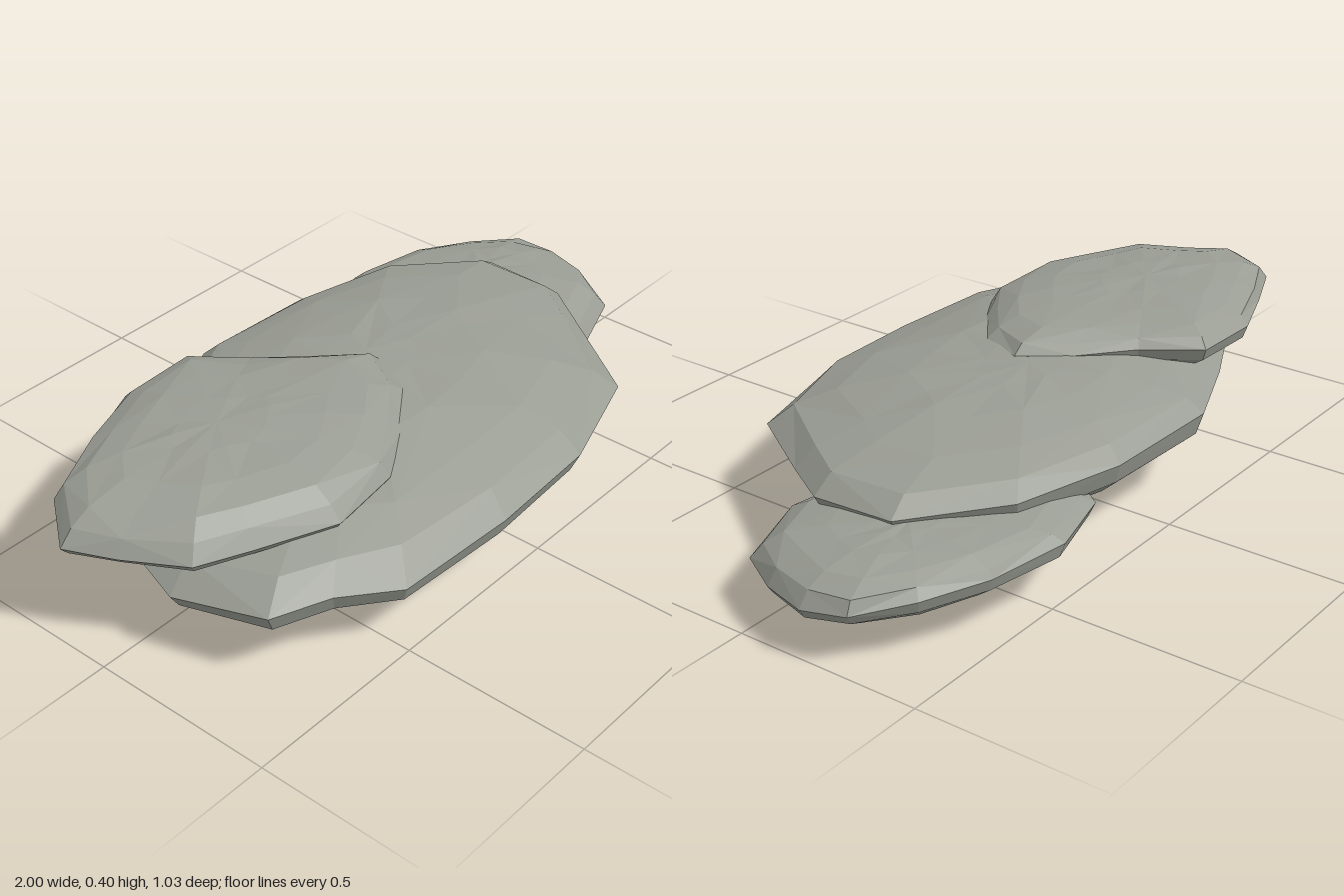
import * as THREE from 'three';

// Small seeded generator for gentle facet irregularity
function seeded(seed) {
  let s = seed;
  return () => {
    s = (s * 16807) % 2147483647;
    return s / 2147483647 - 0.5;
  };
}

// Underside rings shared by all slabs: [scale towards the keel, drop from rim 0..1]
const UNDER = [[0.3, 0.84], [0.6, 0.73], [0.81, 0.52], [0.96, 0.25]];

// A faceted slab: rim points [x, y, z] run counter-clockwise seen from above,
// keel and crown are its lowest and highest points, over holds the upper rings.
function slab(name, material, { rim, keel, crown, over, seed }) {
  const rand = seeded(seed);
  const rings = [];
  const ring = (pole, scale, k) => rings.push(rim.map(([x, y, z]) => {
    const s = scale * (1 + rand() * 0.05 * (scale < 0.95 ? 1 : 0));
    return new THREE.Vector3(
      pole[0] + (x - pole[0]) * s,
      y + (pole[1] - y) * k + rand() * 0.007,
      pole[2] + (z - pole[2]) * s);
  }));
  for (const [s, k] of UNDER) ring(keel, s, k);
  rings.push(rim.map((p) => new THREE.Vector3(...p)));
  for (const [s, k] of over) ring(crown, s, k);

  const pos = [];
  const tri = (...pts) => pts.forEach((p) => pos.push(p.x, p.y, p.z));
  const low = new THREE.Vector3(...keel), high = new THREE.Vector3(...crown);
  const n = rim.length, last = rings[rings.length - 1];
  for (let i = 0; i < n; i++) {
    const m = (i + 1) % n;
    tri(low, rings[0][m], rings[0][i]);
    for (let j = 0; j < rings.length - 1; j++) {
      const a = rings[j][i], b = rings[j][m], c = rings[j + 1][m], d = rings[j + 1][i];
      if ((i + j) % 2) { tri(a, b, c); tri(a, c, d); }
      else { tri(a, b, d); tri(b, c, d); }
    }
    tri(last[i], last[m], high);
  }
  const geometry = new THREE.BufferGeometry();
  geometry.setAttribute('position', new THREE.Float32BufferAttribute(pos, 3));
  geometry.computeVertexNormals(); // unshared corners give flat facets
  const mesh = new THREE.Mesh(geometry, material);
  mesh.name = name;
  return mesh;
}

export function createModel() {
  const stone = new THREE.MeshStandardMaterial({ color: 0x9a9d94 });
  stone.name = 'grey stone';
  const group = new THREE.Group();
  group.name = 'stackedFlatRocks';

  // Large middle slab
  group.add(slab('mainSlab', stone, {
    rim: [
      [0.72, 0.22, 0.02], [0.72, 0.23, -0.21], [0.5, 0.24, -0.4], [0.2, 0.24, -0.48],
      [-0.16, 0.24, -0.49], [-0.42, 0.23, -0.38], [-0.66, 0.22, -0.26], [-0.82, 0.2, -0.08],
      [-0.87, 0.18, 0.1], [-0.8, 0.2, 0.34], [-0.65, 0.2, 0.4], [-0.51, 0.19, 0.5],
      [-0.16, 0.19, 0.515], [0.17, 0.19, 0.495], [0.47, 0.2, 0.4], [0.63, 0.21, 0.16],
    ],
    keel: [-0.16, 0, 0.02], crown: [0.02, 0.335, -0.08],
    over: [[0.9, 0.4], [0.72, 0.66], [0.45, 0.9], [0.2, 0.98]], seed: 11,
  }));

  // Smaller slab resting on top, on the right-hand side
  group.add(slab('upperSlab', stone, {
    rim: [
      [0.01, 0.335, -0.03], [-0.08, 0.335, -0.15], [-0.21, 0.335, -0.26], [-0.31, 0.335, -0.4],
      [-0.52, 0.33, -0.4], [-0.72, 0.32, -0.32], [-0.9, 0.31, -0.24], [-1, 0.29, -0.11],
      [-0.94, 0.285, 0.01], [-0.85, 0.285, 0.16], [-0.72, 0.285, 0.22], [-0.52, 0.29, 0.31],
      [-0.32, 0.3, 0.29], [-0.17, 0.315, 0.2], [-0.05, 0.33, 0.1],
    ],
    keel: [-0.52, 0.2, -0.06], crown: [-0.52, 0.398, -0.08],
    over: [[0.94, 0.38], [0.8, 0.68], [0.58, 0.87], [0.28, 0.97]], seed: 29,
  }));

  // Low slab tucked under the left-hand side
  group.add(slab('lowerSlab', stone, {
    rim: [
      [1, 0.125, -0.18], [0.98, 0.14, -0.3], [0.86, 0.155, -0.4], [0.7, 0.165, -0.48],
      [0.48, 0.17, -0.52], [0.27, 0.165, -0.46], [0.14, 0.15, -0.3], [0.16, 0.13, -0.1],
      [0.3, 0.12, 0.04], [0.5, 0.12, 0.11], [0.7, 0.12, 0.14], [0.89, 0.12, 0.07],
      [0.96, 0.12, -0.05],
    ],
    keel: [0.55, 0.025, -0.17], crown: [0.68, 0.222, -0.23],
    over: [[0.93, 0.4], [0.76, 0.7], [0.5, 0.88], [0.22, 0.97]], seed: 47,
  }));

  return group;
}
